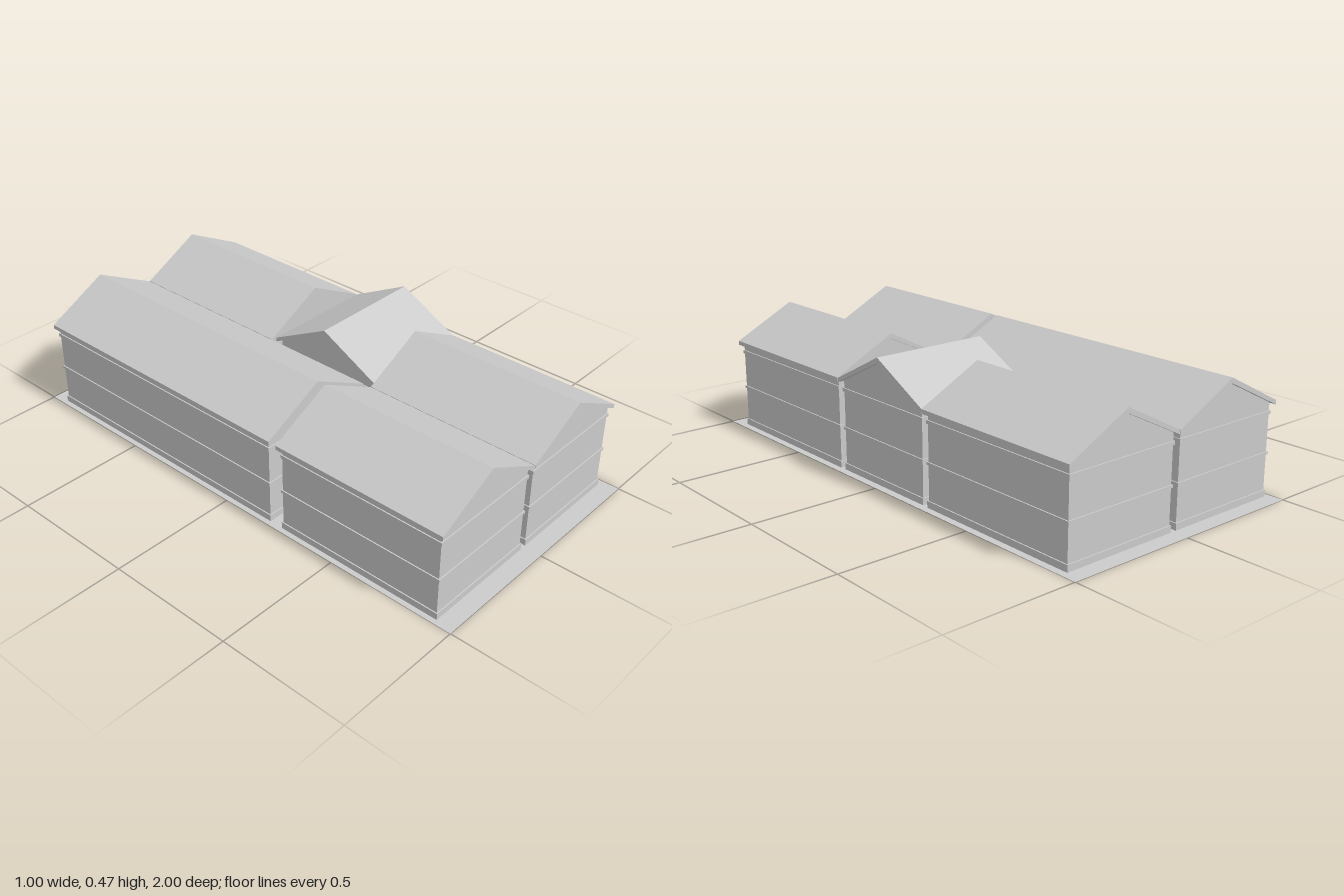
import * as THREE from 'three';

const material = new THREE.MeshStandardMaterial({ color: 0xcccccc, flatShading: true });

// Extrude an outline in the xy plane, centred along z
function prism(name, points, depth) {
  const shape = new THREE.Shape(points.map(([x, y]) => new THREE.Vector2(x, y)));
  const geometry = new THREE.ExtrudeGeometry(shape, { depth, bevelEnabled: false });
  geometry.translate(0, 0, -depth / 2);
  const mesh = new THREE.Mesh(geometry, material);
  mesh.name = name;
  return mesh;
}

// Gabled building with its ridge along z; width and length are those of the roof
function building(name, width, length) {
  const group = new THREE.Group();
  group.name = name;
  const half = width / 2;
  const wall = half - 0.0155;
  const wallLength = length - 0.031;
  const eave = 0.334, peak = 0.455;
  const wallTop = eave + (peak - eave) * (half - wall) / half;

  // Walls with the gable ends
  group.add(prism('walls', [
    [-wall, 0], [wall, 0], [wall, wallTop], [0, peak], [-wall, wallTop],
  ], wallLength));

  // Plinth and the two string courses
  const courses = [['plinth', 0, 0.025], ['middleBand', 0.155, 0.165], ['upperBand', 0.3, 0.313]];
  for (const [label, y0, y1] of courses) {
    const band = new THREE.Mesh(
      new THREE.BoxGeometry(2 * wall + 0.009, y1 - y0, wallLength + 0.009), material);
    band.position.y = (y0 + y1) / 2;
    band.name = label;
    group.add(band);
  }

  // Overhanging roof slab
  group.add(prism('roof', [
    [-half, eave], [0, peak], [half, eave], [half, 0.35], [0, 0.475], [-half, 0.35],
  ], length));
  return group;
}

export function createModel() {
  const model = new THREE.Group();
  model.name = 'buildingBlock';

  // Ground slab
  const plot = new THREE.Mesh(new THREE.PlaneGeometry(1, 2),
    new THREE.MeshStandardMaterial({ color: 0xcccccc, side: THREE.DoubleSide }));
  plot.rotation.x = -Math.PI / 2;
  plot.name = 'plot';
  model.add(plot);

  // name, x, z, roof width, roof length, turned across the plot
  const layout = [
    ['frontRightHouse', -0.248, 0.592, 0.487, 0.7, false],
    ['frontLeftHouse', 0.241, 0.592, 0.487, 0.7, false],
    ['backRightHouse', -0.248, -0.37, 0.487, 1.16, false],
    ['backLeftHouse', 0.241, -0.6, 0.487, 0.7, false],
    ['crossHouse', 0.251, -0.003, 0.487, 0.463, true],
  ];
  for (const [name, x, z, width, length, turned] of layout) {
    const house = building(name, width, length);
    house.position.set(x, 0, z);
    if (turned) house.rotation.y = Math.PI / 2;
    model.add(house);
  }
  return model;
}
